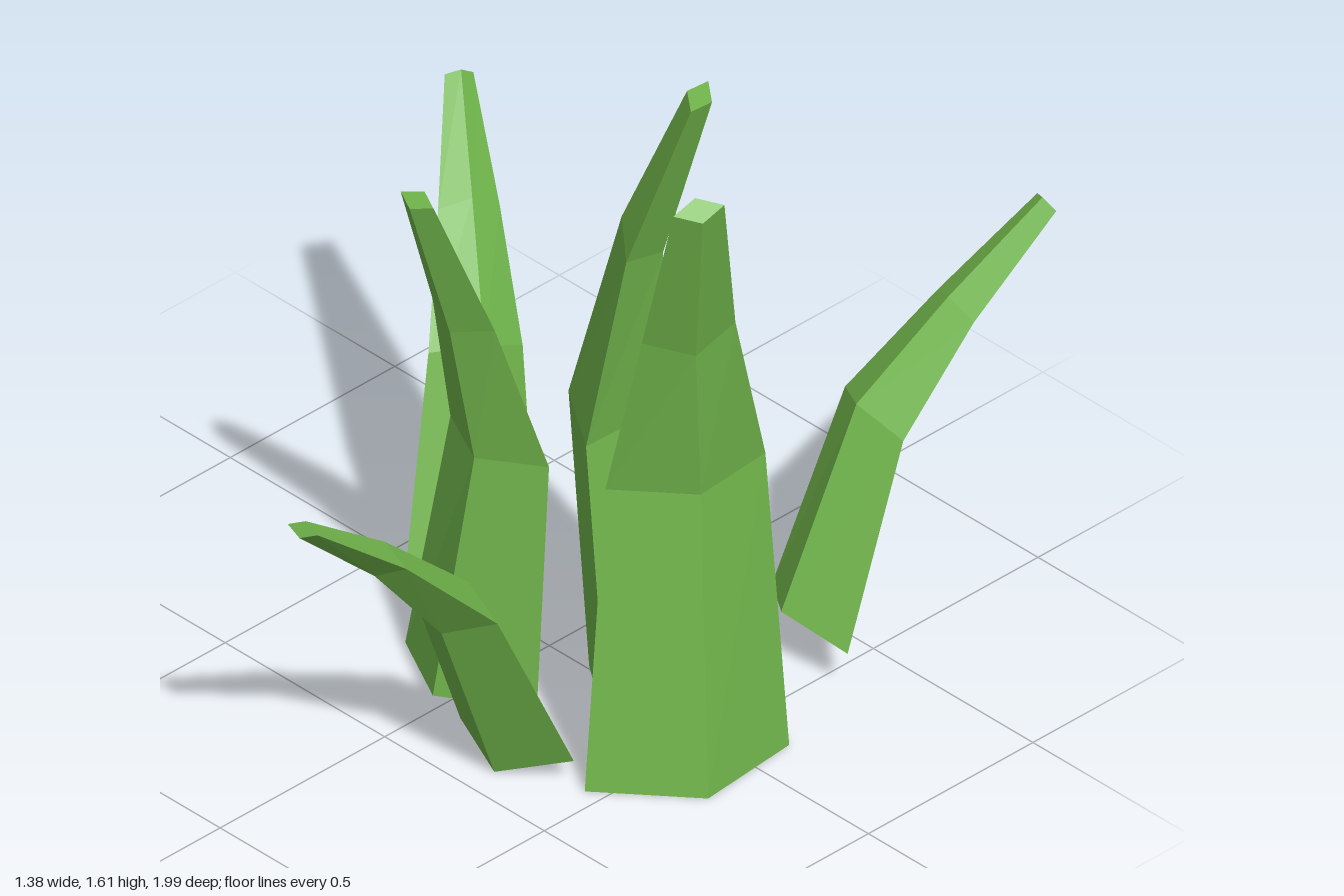
import * as THREE from 'three';

const material = new THREE.MeshStandardMaterial({ color: 0x70b44b, flatShading: true });

// One tapering blade with a diamond cross-section.
// yaw: heading of the curl about y (0 = +z); roll: sideways slope of the diamonds.
// rings: [x, y, z, half width, half thickness, forward tilt] from base to tip.
function blade(name, yaw, roll, rings) {
  const side = new THREE.Vector3(Math.cos(yaw), roll, -Math.sin(yaw)).normalize();
  const corners = rings.map(([x, y, z, w, t, tilt]) => {
    const centre = new THREE.Vector3(x, y, z);
    const forward = new THREE.Vector3(
      Math.sin(yaw) * Math.cos(tilt), -Math.sin(tilt), Math.cos(yaw) * Math.cos(tilt));
    return [[side, w], [forward, t], [side, -w], [forward, -t]]
      .map(([dir, size]) => centre.clone().addScaledVector(dir, size));
  });

  const points = [];
  const quad = (a, b, c, d) => points.push(a, b, c, a, c, d);
  for (let r = 0; r < corners.length - 1; r++) {
    const low = corners[r], high = corners[r + 1];
    for (let i = 0; i < 4; i++) {
      const j = (i + 1) % 4;
      quad(low[j], low[i], high[i], high[j]);
    }
  }
  // base and tip caps
  quad(...corners[0]);
  quad(...[...corners[corners.length - 1]].reverse());

  const geometry = new THREE.BufferGeometry().setFromPoints(points);
  geometry.computeVertexNormals();
  const mesh = new THREE.Mesh(geometry, material);
  mesh.name = name;
  return mesh;
}

export function createModel() {
  const group = new THREE.Group();
  group.name = 'grassTuft';
  group.add(
    // tall upright blades in the middle
    blade('centreBlade', 2.06, 0, [
      [0.222, 0.005, -0.065, 0.24, 0.12, 0],
      [0.14, 0.70, -0.055, 0.185, 0.1, 0.05],
      [0.23, 1.185, -0.06, 0.115, 0.06, 0.65],
      [0.373, 1.605, -0.095, 0.062, 0.03, 0.3],
    ]),
    blade('leftBlade', 1.18, 0, [
      [0.545, 0.005, 0.11, 0.24, 0.125, 0],
      [0.476, 0.73, 0.048, 0.188, 0.09, 0.05],
      [0.55, 1.165, 0.11, 0.11, 0.055, 0.7],
      [0.665, 1.585, 0.19, 0.06, 0.03, 0.7],
    ]),
    blade('frontCentreBlade', 0.03, 0.03, [
      [-0.008, 0.03, 0.23, 0.2, 0.12, -0.08],
      [0.02, 0.64, 0.17, 0.15, 0.08, 0.05],
      [-0.01, 1.0, 0.25, 0.095, 0.05, 0.5],
      [-0.043, 1.342, 0.36, 0.05, 0.026, 0.45],
    ]),
    // short drooping blades around the outside
    blade('frontBlade', 0.12, 0.08, [
      [0.255, 0.05, 0.345, 0.16, 0.09, 0.5],
      [0.272, 0.508, 0.55, 0.12, 0.064, 0.75],
      [0.253, 0.73, 0.76, 0.075, 0.04, 1.1],
      [0.243, 0.912, 0.985, 0.042, 0.02, 1.0],
    ]),
    blade('rightBlade', -1.92, 0.2, [
      [-0.26, 0.083, -0.015, 0.16, 0.086, 0.38],
      [-0.362, 0.55, -0.127, 0.115, 0.062, 0.7],
      [-0.515, 0.79, -0.255, 0.075, 0.04, 1.1],
      [-0.68, 1.0, -0.385, 0.035, 0.02, 1.0],
    ]),
    blade('backBlade', 2.92, 0, [
      [0.435, 0.115, -0.37, 0.158, 0.086, 0.55],
      [0.425, 0.555, -0.575, 0.122, 0.062, 0.75],
      [0.48, 0.775, -0.77, 0.075, 0.037, 1.0],
      [0.543, 0.978, -0.985, 0.04, 0.02, 1.0],
    ]),
  );
  return group;
}
